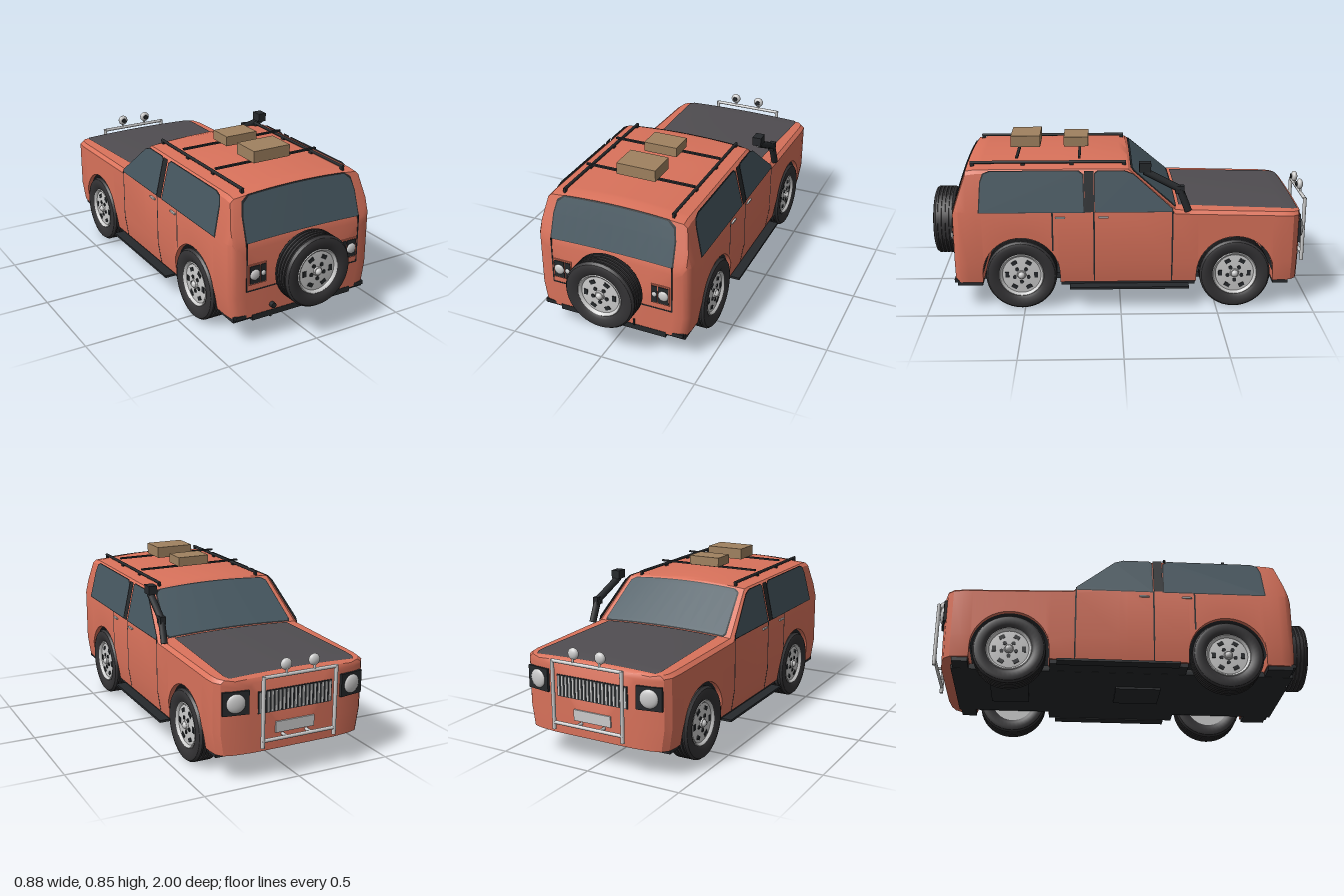
import * as THREE from 'three';
import { toCreasedNormals } from 'three/addons/utils/BufferGeometryUtils.js';

const mat = (color, side = THREE.FrontSide) => new THREE.MeshStandardMaterial({ color, side });
const PAINT = mat(0xd9725b), GLASS = mat(0x465760, THREE.DoubleSide), HOOD = mat(0x504d51, THREE.DoubleSide);
const BLACK = mat(0x26292c, THREE.DoubleSide), TYRE = mat(0x343335), METAL = mat(0xcccccc), CARTON = mat(0xa08260);
const WHEEL_Z = [0.515, -0.595], WHEEL_R = 0.184, ARCH_R = 0.2, ARCH_Y = 0.19;

// Body stations along z: [z, top height, roof crown, half width]
const KEYS = [
  [-0.945, 0.49, 0.005, 0.24], [-0.935, 0.51, 0.008, 0.33], [-0.92, 0.52, 0.01, 0.38], [-0.89, 0.525, 0.012, 0.405],
  [-0.84, 0.53, 0.015, 0.412], [-0.28, 0.545, 0.015, 0.412], [-0.04, 0.755, 0.02, 0.412], [0, 0.764, 0.028, 0.412],
  [0.74, 0.764, 0.028, 0.412], [0.79, 0.75, 0.02, 0.412], [0.83, 0.628, 0.012, 0.408], [0.85, 0.567, 0.01, 0.395],
  [0.862, 0.53, 0.01, 0.375], [0.868, 0.5, 0.01, 0.33],
];
function station(z) {
  let i = 0;
  while (i < KEYS.length - 2 && KEYS[i + 1][0] < z) i++;
  const a = KEYS[i], b = KEYS[i + 1], t = (z - a[0]) / (b[0] - a[0]);
  const [top, crown, w] = [1, 2, 3].map(k => a[k] + (b[k] - a[k]) * t);
  const edge = top - crown - 0.015;
  return { top, crown, w, edge, wt: w - Math.max(0, edge - 0.53) * 0.225 };
}
const topY = (x, z) => { const s = station(z); return s.top - s.crown * (x / s.wt) ** 2; };
const sideX = y => 0.412 - Math.max(0, y - 0.53) * 0.225;

function surface(rings, closed) {
  const n = rings[0].length, idx = [], m = closed ? n : n - 1;
  for (let i = 0; i < rings.length - 1; i++) for (let j = 0; j < m; j++) {
    const a = i * n + j, b = i * n + (j + 1) % n;
    idx.push(a, b, b + n, a, b + n, a + n);
  }
  if (closed) for (let j = 1; j < n - 1; j++) {
    const e = (rings.length - 1) * n;
    idx.push(0, j + 1, j, e, e + j, e + j + 1);
  }
  const g = new THREE.BufferGeometry();
  g.setAttribute('position', new THREE.Float32BufferAttribute(rings.flat(2), 3));
  g.setIndex(idx);
  return toCreasedNormals(g, 0.5);
}

// Body shell: lofted cross-sections whose lower edge rises over the wheels
function bodyGeometry() {
  const zs = KEYS.map(k => k[0]);
  for (const c of WHEEL_Z) {
    zs.push(c - ARCH_R - 0.001, c + ARCH_R + 0.001);
    for (let i = 0; i <= 20; i++) zs.push(c - ARCH_R * Math.cos(i * Math.PI / 20));
  }
  zs.sort((a, b) => a - b);
  return surface(zs.map(z => {
    const s = station(z);
    let b = 0.14;
    for (const c of WHEEL_Z) {
      const d = Math.abs(z - c);
      if (d < ARCH_R + 0.0005) b = ARCH_Y + Math.sqrt(Math.max(0, ARCH_R ** 2 - d * d));
    }
    const belt = Math.min(0.53, s.edge - 0.01), lx = y => s.w - 0.15 * Math.max(0, 0.25 - y);
    const half = [b, b + 0.02, Math.max(b + 0.03, 0.25), belt].map(y => [lx(y), y, z]);
    half.push([s.wt, s.edge, z]);
    for (const f of [0.95, 0.7, 0.35]) half.push([s.wt * f, s.top - s.crown * f * f, z]);
    const mirror = half.map(([x, y]) => [-x, y, z]).reverse();
    return [[0, b, z], ...half, [0, s.top, z], ...mirror];
  }), true);
}

// Panel lying on the upper surface; rows are [z, half width]
function overlay(rows, dy, dz) {
  return surface(rows.map(([z, hw]) => Array.from({ length: 11 }, (_, j) => {
    const x = hw * (1 - j / 5);
    return [x, topY(x, z) + dy, z + dz];
  })), false);
}

// Flat panel on the body side; points are [z, y]
function sidePanel(pts, side, off) {
  const g = new THREE.ShapeGeometry(new THREE.Shape(pts.map(p => new THREE.Vector2(...p))));
  const p = g.attributes.position;
  for (let i = 0; i < p.count; i++) {
    const z = p.getX(i), y = p.getY(i);
    p.setXYZ(i, side * (sideX(y) + off), y, z);
  }
  return toCreasedNormals(g, 0.1);
}

export function createModel() {
  const root = new THREE.Group();
  root.name = 'offRoader';
  const add = (name, geo, m, x = 0, y = 0, z = 0, parent = root) => {
    const mesh = new THREE.Mesh(geo, m);
    mesh.name = name;
    mesh.position.set(x, y, z);
    parent.add(mesh);
    return mesh;
  };
  const box = (name, m, w, h, d, x, y, z, parent) => add(name, new THREE.BoxGeometry(w, h, d), m, x, y, z, parent);
  const disc = (name, m, r, d, x, y, z, parent) =>
    add(name, new THREE.CylinderGeometry(r, r, d, 24).rotateX(Math.PI / 2), m, x, y, z, parent);
  const rod = (name, m, pts, r, sides = 10) => {
    for (let i = 0; i < pts.length - 1; i++) {
      const a = new THREE.Vector3(...pts[i]), b = new THREE.Vector3(...pts[i + 1]), d = b.clone().sub(a);
      const c = add(name, new THREE.CylinderGeometry(r, r, d.length(), sides), m, ...a.clone().add(b).multiplyScalar(0.5).toArray());
      c.quaternion.setFromUnitVectors(new THREE.Vector3(0, 1, 0), d.normalize());
    }
  };

  add('bodyShell', bodyGeometry(), PAINT);
  add('bonnetPanel', overlay([[-0.92, 0.335], [-0.89, 0.35], [-0.84, 0.35], [-0.3, 0.33]], 0.004, 0), HOOD);
  add('windscreenSeal', overlay([[-0.285, 0.355], [-0.27, 0.364], [-0.065, 0.332], [-0.05, 0.305]], 0.003, -0.002), BLACK);
  add('windscreen', overlay([[-0.277, 0.347], [-0.265, 0.356], [-0.07, 0.325], [-0.057, 0.3]], 0.006, -0.004), GLASS);
  add('rearWindowSeal', overlay([[0.788, 0.28], [0.797, 0.315], [0.82, 0.328], [0.8615, 0.33]], 0.002, 0.003), BLACK);
  add('rearWindow', overlay([[0.792, 0.275], [0.801, 0.308], [0.82, 0.321], [0.8605, 0.323]], 0.003, 0.006), GLASS);

  // Side glass, pillars, door gaps, handles, steps
  const rearGlass = [[0.72, 0.53], [0.71, 0.68], [0.695, 0.72], [0.66, 0.733], [0.22, 0.733], [0.195, 0.715], [0.19, 0.53]];
  const frontGlass = [[0.13, 0.53], [0.13, 0.72], [0.115, 0.731], [-0.02, 0.731], [-0.065, 0.715], [-0.262, 0.545], [-0.262, 0.53]];
  for (const s of [1, -1]) {
    const grow = (pts, cz) => pts.map(([z, y]) => [cz + (z - cz) * 1.025, 0.63 + (y - 0.63) * 1.04]);
    add('sideWindowSeal', sidePanel(grow(rearGlass, 0.455), s, 0.002), BLACK);
    add('sideWindowSeal', sidePanel(grow(frontGlass, -0.06), s, 0.002), BLACK);
    add('rearSideWindow', sidePanel(rearGlass, s, 0.005), GLASS);
    add('frontSideWindow', sidePanel(frontGlass, s, 0.005), GLASS);
    add('doorPillar', sidePanel([[0.185, 0.53], [0.185, 0.735], [0.137, 0.735], [0.137, 0.53]], s, 0.006), BLACK);
    for (const [z, y0] of [[0.35, 0.32], [0.137, 0.15], [-0.266, 0.15]])
      add('doorGap', sidePanel([[z - 0.004, Math.max(y0, 0.25)], [z + 0.004, Math.max(y0, 0.25)], [z + 0.004, 0.53], [z - 0.004, 0.53]], s, 0.002), BLACK);
    for (const z of [0.137, -0.266]) box('doorGapLower', BLACK, 0.01, 0.11, 0.007, s * 0.4, 0.2, z).rotation.z = -s * 0.148;
    for (const z of [0.31, 0.088]) box('doorHandle', METAL, 0.012, 0.008, 0.05, s * 0.415, 0.5, z);
    box('sideStep', BLACK, 0.06, 0.012, 0.62, s * 0.41, 0.12, -0.045);

    // Roof rails with feet
    rod('roofRail', BLACK, [[s * 0.29, 0.761, -0.03], [s * 0.29, 0.761, 0.77]], 0.008);
    for (const z of [-0.02, 0.25, 0.5, 0.76]) box('railFoot', BLACK, 0.012, 0.03, 0.02, s * 0.29, 0.748, z);

    // Tail lamps
    box('tailLampSurround', PAINT, 0.098, 0.106, 0.012, s * 0.266, 0.365, 0.867);
    box('tailLampHousing', BLACK, 0.054, 0.092, 0.012, s * 0.283, 0.365, 0.871);
    box('tailLampHousing', BLACK, 0.029, 0.092, 0.012, s * 0.236, 0.365, 0.871);
    add('tailLamp', new THREE.SphereGeometry(0.027, 20, 12).scale(1, 1, 0.4), METAL, s * 0.283, 0.365, 0.877);
    add('reverseLamp', new THREE.SphereGeometry(0.013, 16, 10).scale(1, 1, 0.5), METAL, s * 0.236, 0.365, 0.877);
    box('tailgateGap', BLACK, 0.006, 0.25, 0.008, s * 0.324, 0.405, 0.866);

    // Headlamps on the nose corners
    const lamp = new THREE.Group();
    lamp.name = 'headlamp';
    lamp.position.set(s * 0.312, 0.4, -0.932);
    lamp.rotation.y = -s * 0.17;
    root.add(lamp);
    box('headlampHousing', BLACK, 0.13, 0.115, 0.03, 0, 0, 0, lamp);
    add('headlampLens', new THREE.SphereGeometry(0.047, 24, 14).scale(1, 1, 0.35), METAL, 0, 0, -0.013, lamp);
  }
  box('tailgateGapLower', BLACK, 0.65, 0.006, 0.008, 0, 0.28, 0.866);

  // Grille and number plate
  box('grilleBack', BLACK, 0.4, 0.11, 0.012, 0, 0.385, -0.943);
  for (let i = 0; i < 19; i++) box('grilleSlat', METAL, 0.009, 0.1, 0.012, -0.189 + i * 0.021, 0.385, -0.947);
  box('numberPlate', METAL, 0.21, 0.055, 0.01, 0, 0.25, -0.948);

  // Underbody, trims and arch liners
  box('underbody', BLACK, 0.58, 0.03, 1.76, 0, 0.133, -0.01);
  for (const [z0, z1] of [[-0.88, -0.8], [-0.39, 0.31], [0.72, 0.85]]) box('underbodySill', BLACK, 0.77, 0.03, z1 - z0, 0, 0.134, (z0 + z1) / 2);
  box('rearTrim', BLACK, 0.76, 0.02, 0.03, 0, 0.145, 0.852);
  box('skidPlate', BLACK, 0.21, 0.012, 0.24, 0, 0.113, 0.08);
  box('engineGuard', BLACK, 0.26, 0.012, 0.2, 0, 0.115, -0.6);
  for (const z of WHEEL_Z) {
    const liner = new THREE.CylinderGeometry(ARCH_R - 0.001, ARCH_R - 0.001, 0.78, 24, 1, true, 0, Math.PI);
    add('archLiner', liner.rotateZ(Math.PI / 2), BLACK, 0, ARCH_Y, z);
    rod('axle', BLACK, [[-0.33, WHEEL_R, z], [0.33, WHEEL_R, z]], 0.022);
  }

  // Wheels: grooved tyre, dished rim, slots and lug nuts, facing local +z
  const side = [[0.114, 0.046], [0.13, 0.056], [0.16, 0.06], [0.175, 0.055], [WHEEL_R, 0.043]];
  const tread = [-0.03, -0.01, 0.01, 0.03].flatMap(c => [[WHEEL_R, c - 0.004], [0.178, c - 0.003], [0.178, c + 0.003], [WHEEL_R, c + 0.004]]);
  const tyrePts = [...side.map(([r, y]) => [r, -y]), ...tread, ...side.slice().reverse()];
  const rimPts = [[0, -0.045], [0.117, -0.045], [0.117, 0.046], [0.112, 0.051], [0.106, 0.047], [0.1, 0.038], [0.05, 0.042], [0.024, 0.042], [0.022, 0.05], [0, 0.052]];
  const lathe = pts => toCreasedNormals(new THREE.LatheGeometry(pts.map(p => new THREE.Vector2(...p)), 40).rotateX(Math.PI / 2), 0.6);
  const tyreGeo = lathe(tyrePts), rimGeo = lathe(rimPts);
  const wheel = (name, x, y, z, ry) => {
    const g = new THREE.Group();
    g.name = name;
    g.position.set(x, y, z);
    g.rotation.y = ry;
    root.add(g);
    add('tyre', tyreGeo, TYRE, 0, 0, 0, g);
    add('rim', rimGeo, METAL, 0, 0, 0, g);
    for (let i = 0; i < 6; i++) {
      const a = i * Math.PI / 3;
      box('rimSlot', BLACK, 0.02, 0.03, 0.006, 0.075 * Math.cos(a), 0.075 * Math.sin(a), 0.04, g).rotation.z = a;
    }
    for (let i = 0; i < 5; i++) {
      const a = -Math.PI / 2 + i * Math.PI * 0.4;
      disc('lugNut', BLACK, 0.01, 0.01, 0.038 * Math.cos(a), 0.038 * Math.sin(a), 0.041, g);
    }
    add('hubCap', new THREE.SphereGeometry(0.019, 16, 10), METAL, 0, 0, 0.046, g);
  };
  for (const z of WHEEL_Z) for (const s of [1, -1]) wheel('wheel', s * 0.36, WHEEL_R, z, s * Math.PI / 2);
  wheel('spareWheel', 0, 0.358, 0.94, 0);
  box('spareMount', BLACK, 0.1, 0.1, 0.04, 0, 0.358, 0.88);

  // Exhaust and towing hooks
  rod('exhaust', BLACK, [[-0.18, 0.178, 0.84], [-0.18, 0.178, 0.89]], 0.014, 16);
  rod('towEye', BLACK, [[-0.18, 0.13, 0.86], [-0.18, 0.108, 0.86]], 0.006);
  rod('towHook', BLACK, [[0.12, 0.145, 0.872], [0.12, 0.18, 0.872]], 0.005);

  // Roof load
  for (const z of [0.21, 0.53]) box('crossBar', BLACK, 0.59, 0.009, 0.014, 0, 0.785, z);
  box('largeBox', CARTON, 0.21, 0.06, 0.155, 0, 0.821, 0.4975);
  box('smallBox', CARTON, 0.18, 0.05, 0.13, 0, 0.815, 0.23);

  // Snorkel
  rod('snorkelPipe', BLACK, [[0.405, 0.53, -0.345], [0.4, 0.645, -0.3], [0.383, 0.735, -0.12]], 0.019, 8);
  box('snorkelElbow', BLACK, 0.03, 0.04, 0.045, 0.4, 0.643, -0.3);
  box('snorkelHead', BLACK, 0.047, 0.046, 0.06, 0.381, 0.758, -0.123);

  // Bull bar with spot lamps
  const B = -0.988;
  for (const s of [1, -1]) {
    rod('barUpright', METAL, [[s * 0.195, 0.175, B], [s * 0.195, 0.525, B]], 0.01);
    rod('barMount', METAL, [[s * 0.065, 0.21, B], [s * 0.065, 0.21, -0.93]], 0.008);
    rod('lampStem', METAL, [[s * 0.075, 0.52, B], [s * 0.075, 0.55, B]], 0.006);
    add('spotLamp', new THREE.SphereGeometry(0.029, 20, 14).scale(1, 1, 0.6), METAL, s * 0.075, 0.568, -0.981);
    disc('spotLampBack', BLACK, 0.014, 0.01, s * 0.075, 0.568, -0.965);
  }
  for (const y of [0.52, 0.21]) rod('barRail', METAL, [[-0.2, y, B], [0.2, y, B]], 0.009);
  return root;
}
